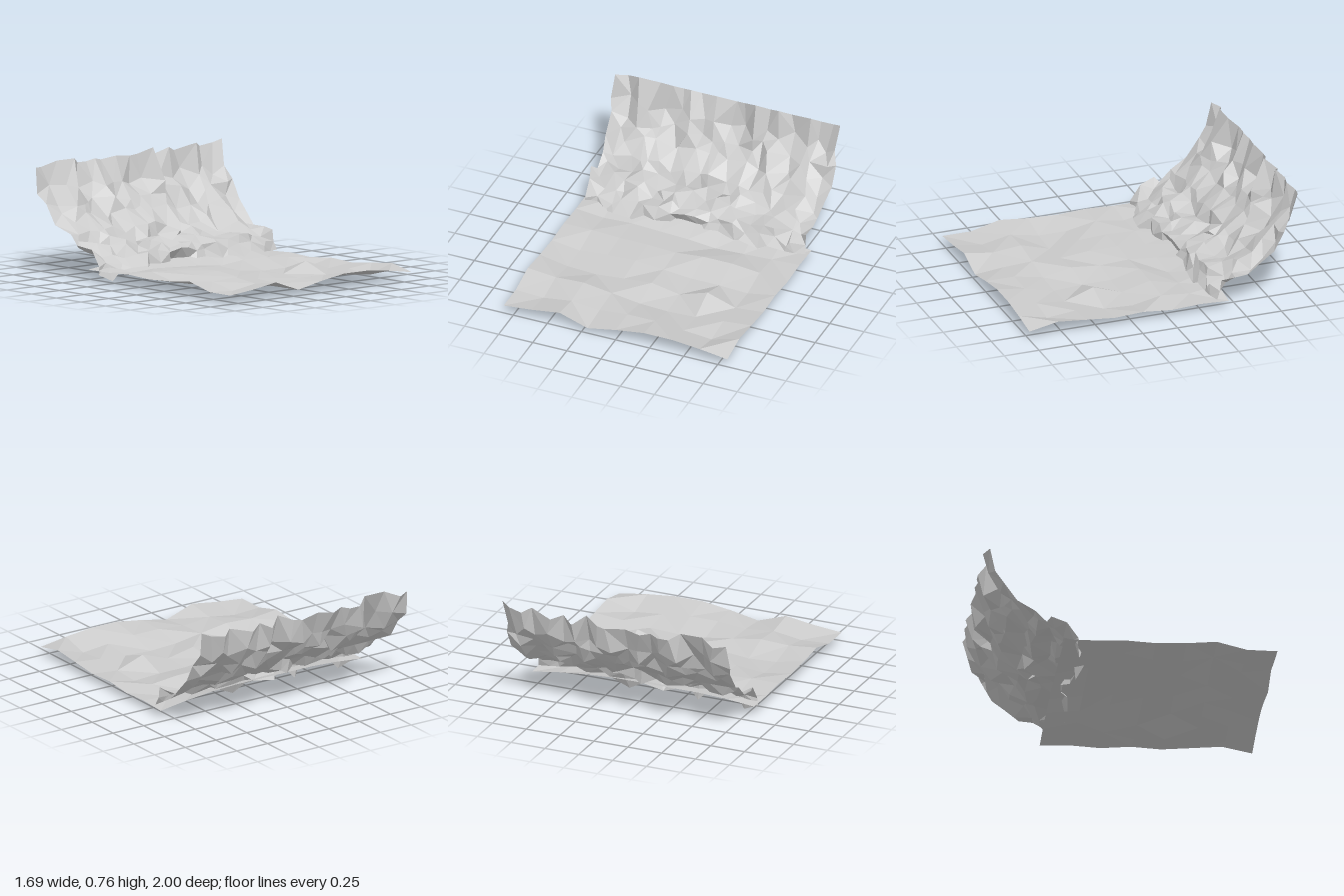
import * as THREE from 'three';

// small seeded random, returns -1..1
function seeded(seed) {
  let s = seed;
  return () => {
    s = (s * 16807) % 2147483647;
    return (s / 2147483647) * 2 - 1;
  };
}

// faceted sheet with vertices placed by rule(column, row); each cell is split along its shorter diagonal
function sheet(name, cols, rows, rule) {
  const points = [];
  for (let r = 0; r <= rows; r++) {
    for (let c = 0; c <= cols; c++) points.push(new THREE.Vector3(...rule(c, r)));
  }
  const corners = [];
  for (let r = 0; r < rows; r++) {
    for (let c = 0; c < cols; c++) {
      const i = r * (cols + 1) + c;
      const [a, b, d, e] = [i, i + 1, i + cols + 1, i + cols + 2].map((k) => points[k]);
      if (a.distanceTo(e) < b.distanceTo(d)) corners.push(a, d, e, a, e, b);
      else corners.push(a, d, b, d, e, b);
    }
  }
  const geo = new THREE.BufferGeometry().setFromPoints(corners);
  geo.computeVertexNormals();
  const mesh = new THREE.Mesh(geo, new THREE.MeshStandardMaterial({
    color: 0xcccccc, flatShading: true, side: THREE.DoubleSide,
  }));
  mesh.name = name;
  return mesh;
}

export function createModel() {
  const group = new THREE.Group();
  group.name = 'cliffTerrain';

  // uneven ground with shallow folds and one small peak: heights in hundredths, back row first
  const heights = [
    [8, 10, 11, 11, 11, 11, 10, 8, 5],
    [8, 6, 7, 6, 5, 3, 4, 5, 6],
    [9, 9, 8, 8, 7, 9, 9, 7, 5],
    [8, 5, 7, 8, 6, 4, 4, 3, 7],
    [9, 5, 4, 6, 8, 4, 11, 4, 6],
    [11, 9, 10, 7, 4, 3, 4, 6, 8],
    [6, 5, 8, 6, 8, 8, 6, 4, 10],
    [6, 8, 11, 4, 8, 11, 11, 9, 6],
  ];
  group.add(sheet('ground', 8, 7, (c, r) => [
    -0.82 + c * 0.205, heights[r][c] / 100, -0.44 + (r * 1.44) / 7,
  ]));

  // craggy cliff: rim and hem follow given lines, rows between follow a profile
  const rimX = [-0.84, -0.76, -0.66, -0.5, -0.43, -0.35, -0.29, -0.22, -0.1, 0.04,
    0.1, 0.2, 0.28, 0.36, 0.44, 0.6, 0.66, 0.76, 0.82];
  const rimZ = [-0.95, -0.99, -0.94, -0.94, -0.99, -0.99, -0.97, -0.99, -0.97, -0.99,
    -0.98, -0.93, -1, -0.95, -0.99, -0.94, -0.98, -0.96, -0.93];
  const hemZ = [-0.35, -0.33, -0.31, -0.28, -0.26, -0.32, -0.31, -0.34, -0.4, -0.38,
    -0.33, -0.32, -0.33, -0.32, -0.31, -0.32, -0.33, -0.34, -0.36];
  const profile = [[-0.96, 0.72], [-0.91, 0.56], [-0.84, 0.47], [-0.77, 0.38],
    [-0.68, 0.29], [-0.6, 0.225], [-0.51, 0.21], [-0.42, 0.185], [-0.36, 0.135], [-0.32, 0.07]];
  const cols = rimX.length - 1, last = profile.length - 1;
  const rnd = seeded(977);
  group.add(sheet('cliff', cols, last, (c, r) => {
    const a = rnd(), b = rnd(), d = rnd();
    if (r === 0) return [rimX[c], c === 0 ? 0.72 : 0.76 - (-0.93 - rimZ[c]) * 0.8, rimZ[c]];
    // columns even out from the rim spacing to regular spacing
    const even = -0.82 + (c * 1.64) / cols;
    const jitter = c === 0 || c === cols ? 0.025 : 0.04;
    const x = THREE.MathUtils.lerp(rimX[c], even, Math.min(1, r / 3)) + jitter * a;
    // hem meets the ground, with a few points poking through
    if (r === last) return [x, [1, 5, 11].includes(c) ? 0 : 0.07 + 0.02 * b, hemZ[c]];
    const [pz, py] = profile[r];
    // gullies run down from the rim and fade out
    const gully = (rimZ[c] + 0.965) * Math.max(0, 1.7 - r * 0.4);
    const rough = r === last - 1 ? 0.025 : 0.04;
    return [x, py + 0.036 * b, Math.max(-0.99, pz + gully + rough * d)];
  }));

  return group;
}
